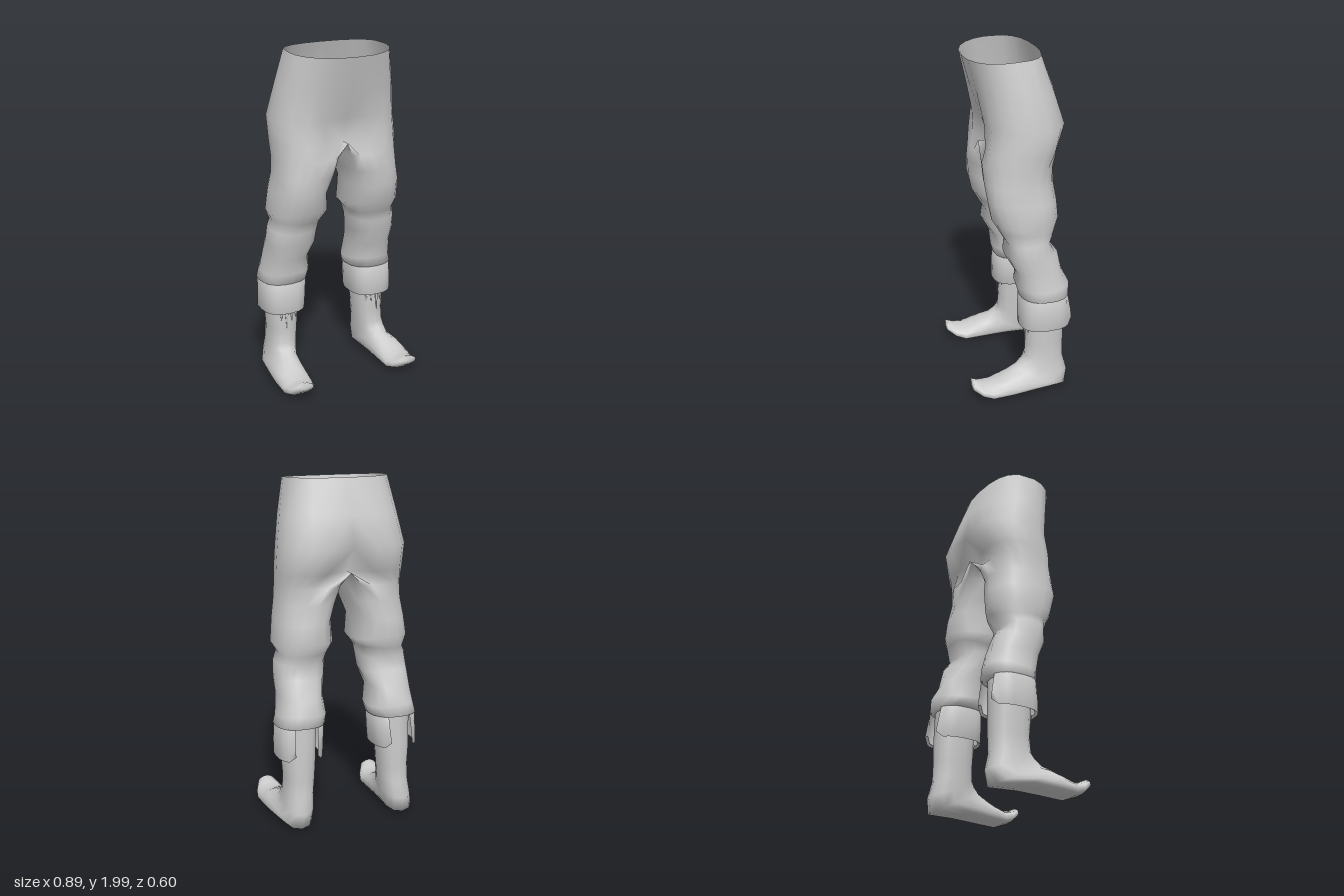
import * as THREE from 'three';
import { mergeGeometries, mergeVertices } from 'three/addons/utils/BufferGeometryUtils.js';

const cloth = new THREE.MeshStandardMaterial({ color: 0xcccccc, side: THREE.DoubleSide });
cloth.name = 'pale grey';

const pow = (v, p) => Math.sign(v) * Math.pow(Math.abs(v), p);

// Skin between rings of points; side = 1 for the left, -1 for the mirrored right.
function loft(rings, side, closed, skip = () => false) {
  const n = rings[0].length, pos = [], index = [];
  rings.forEach((ring) => ring.forEach((p) => pos.push(p[0] * side, p[1], p[2])));
  for (let r = 0; r < rings.length - 1; r++) {
    for (let k = 0; k < (closed ? n : n - 1); k++) {
      if (skip(r, k)) continue;
      const a = r * n + k, b = r * n + (k + 1) % n, c = a + n, d = b + n;
      if (side > 0) index.push(a, c, b, b, c, d);
      else index.push(a, b, c, b, d, c);
    }
  }
  const g = new THREE.BufferGeometry();
  g.setAttribute('position', new THREE.Float32BufferAttribute(pos, 3));
  g.setIndex(index);
  return g;
}

function mesh(name, geometry) {
  const g = mergeVertices(geometry, 1e-4);
  g.computeVertexNormals();
  const m = new THREE.Mesh(g, cloth);
  m.name = name;
  return m;
}

// Trousers: y, middle x, inner x, outer x, front z, back z, dent at the centre seam
const trouserRows = [
  [2.0, 0, 0, 0.30, 0.25, -0.17, 0],
  [1.8, 0, 0, 0.345, 0.21, -0.25, 0.04],
  [1.62, 0, 0, 0.375, 0.19, -0.315, 0.2],
  [1.48, 0, 0, 0.375, 0.215, -0.285, 0.52],
  [1.40, 0.13, 0.012, 0.372, 0.182, -0.225, 0.04],
  [1.30, 0.19, 0.035, 0.375, 0.178, -0.21, 0],
  [1.20, 0.225, 0.075, 0.388, 0.172, -0.235, 0],
  [1.08, 0.23, 0.055, 0.408, 0.135, -0.22, 0],
  [1.02, 0.24, 0.10, 0.378, 0.105, -0.22, 0],
  [0.96, 0.25, 0.11, 0.40, 0.08, -0.185, 0],
  [0.88, 0.27, 0.12, 0.405, 0.075, -0.21, 0],
  [0.78, 0.275, 0.15, 0.405, 0.03, -0.26, 0],
  [0.68, 0.28, 0.13, 0.42, 0.01, -0.28, 0],
  [0.62, 0.285, 0.145, 0.435, 0.0, -0.29, 0],
  [0.61, 0.29, 0.19, 0.40, -0.03, -0.26, 0],
];
const OUTER = 10, INNER = 8, CROTCH = 3;

function trouserRing([y, xm, xi, xo, zf, zb, dent]) {
  const ring = [], zc = (zf + zb) / 2, rz = (zf - zb) / 2;
  for (let k = 0; k < OUTER + INNER; k++) {
    const t = k <= OUTER ? (k / OUTER) * Math.PI : Math.PI * (1 + (k - OUTER) / INNER);
    // The waist is rounded in front and flat behind
    const front = Math.cos(t) > 0;
    const s = pow(Math.sin(t), 0.85);
    const c = pow(Math.cos(t), y < 1.9 ? 0.85 : front ? 1 : 0.6);
    const x = xm + (s > 0 ? xo - xm : xm - xi) * s;
    const z = zc + rz * c * (1 - dent * (1 - Math.abs(s)) ** 2);
    // Bunched cloth around and below the knee
    const fold = y < 1.25 && y > 0.65 ? 0.012 * Math.sin(2 * t + y * 31) : 0;
    const tilt = y === 2 && z > 0 ? -0.02 * z / 0.25 : 0;
    ring.push([x, y + tilt + fold * 0.8, z + fold * c]);
  }
  return ring;
}

function trouserHalf(side) {
  // Above the crotch only the outer arc is skinned
  return loft(trouserRows.map(trouserRing), side, true, (r, k) => r < CROTCH && k >= OUTER);
}

// Boot: front or upper edge (z, y), back or lower edge (z, y), centre x, half width
const bootRows = [
  [-0.03, 0.64, -0.26, 0.64, 0.293, 0.10],
  [-0.03, 0.42, -0.265, 0.42, 0.297, 0.097],
  [-0.035, 0.30, -0.265, 0.30, 0.297, 0.088],
  [-0.03, 0.22, -0.265, 0.20, 0.303, 0.086],
  [-0.01, 0.19, -0.292, 0.10, 0.31, 0.087],
  [0.03, 0.16, -0.275, 0.01, 0.32, 0.095],
  [0.08, 0.135, -0.10, 0.018, 0.335, 0.104],
  [0.13, 0.11, 0.05, 0.013, 0.343, 0.105],
  [0.19, 0.095, 0.19, 0.006, 0.345, 0.10],
  [0.25, 0.102, 0.25, 0.028, 0.348, 0.083],
  [0.298, 0.125, 0.303, 0.07, 0.35, 0.054],
  [0.303, 0.09, 0.303, 0.09, 0.35, 0],
];

function bootHalf(side) {
  const n = 14;
  const rings = bootRows.map(([zf, yf, zb, yb, cx, hw], r) => {
    const ring = [];
    for (let k = 0; k < n; k++) {
      const t = (k / n) * Math.PI * 2;
      // The toe rises to a ridge, the sole stays flat
      const ridge = r > 7 && Math.cos(t) > 0;
      const c = pow(Math.cos(t), ridge ? 1.2 : r > 5 ? 0.8 : 0.9);
      const f = (1 + c) / 2;
      // Foot is wider at the sole than at the instep
      const w = r > 4 ? hw * (1.08 - 0.25 * f) : hw;
      ring.push([cx + w * pow(Math.sin(t), ridge ? 1.1 : 0.85), yb + (yf - yb) * f, zb + (zf - zb) * f]);
    }
    return ring;
  });
  return loft(rings, side, true);
}

// Turned-down cuff, open at the back: y, inner x, outer x, front z, back z
const cuffRows = [
  [0.625, 0.175, 0.40, -0.03, -0.26],
  [0.615, 0.152, 0.425, -0.002, -0.285],
  [0.52, 0.158, 0.43, 0.003, -0.29],
  [0.43, 0.165, 0.43, 0.003, -0.298],
  [0.44, 0.18, 0.415, -0.012, -0.283],
];

function cuffHalf(side) {
  const n = 18, gap = 0.42;
  const rings = cuffRows.map(([y, xi, xo, zf, zb], r) => {
    const ring = [];
    for (let k = 0; k <= n; k++) {
      const t = -Math.PI + gap + (k / n) * (Math.PI - gap) * 2;
      const c = pow(Math.cos(t), 0.75), s = pow(Math.sin(t), 0.8);
      // Loose ends lift and flare at the back
      const end = k === 0 || k === n ? 1 : 0;
      ring.push([
        (xi + xo) / 2 + ((xo - xi) / 2) * s,
        y + (r > 2 ? 0.035 * end : 0),
        (zf + zb) / 2 + ((zf - zb) / 2) * c - (r > 1 ? 0.012 * end : 0),
      ]);
    }
    return ring;
  });
  return loft(rings, side, false);
}

// Small hanging strands under the front of the cuff: x, length
const strands = [[0.245, 0.06], [0.275, 0.08], [0.31, 0.13], [0.34, 0.07]];

function strandGroup(side) {
  const group = new THREE.Group();
  for (const [x, length] of strands) {
    const g = new THREE.ConeGeometry(0.012, length, 6);
    g.rotateX(Math.PI);
    g.scale(1, 1, 0.5);
    const m = new THREE.Mesh(g, cloth);
    m.name = 'strand';
    m.position.set(x * side, 0.43 - length / 2, -0.029 - 6 * (x - 0.297) ** 2);
    group.add(m);
  }
  return group;
}

export function createModel() {
  const model = new THREE.Group();
  model.name = 'trousersAndBoots';
  model.add(mesh('trousers', mergeGeometries([trouserHalf(1), trouserHalf(-1)])));
  for (const [side, label] of [[1, 'left'], [-1, 'right']]) {
    model.add(mesh(label + 'Boot', bootHalf(side)));
    model.add(mesh(label + 'Cuff', cuffHalf(side)));
    const fringe = strandGroup(side);
    fringe.name = label + 'Fringe';
    model.add(fringe);
  }
  return model;
}
